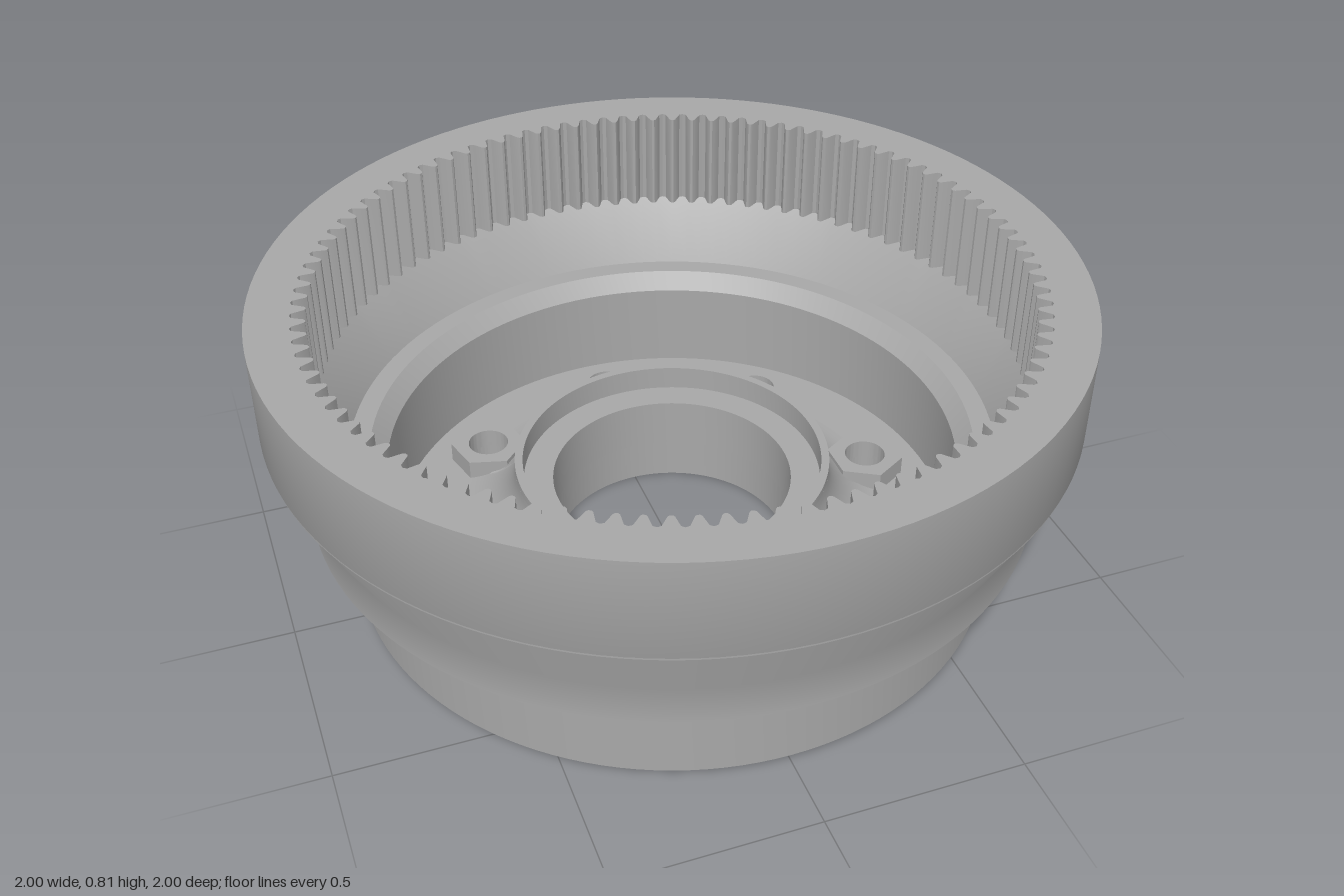
import * as THREE from 'three';
import { toCreasedNormals } from 'three/addons/utils/BufferGeometryUtils.js';

const SEG = 128;
const BOLTS = 8, BOLT_RING = 0.55, BOLT_R = 0.053;
const FLOOR = 0.108, BORE = 0.305;

export function createModel() {
  const group = new THREE.Group();
  const steel = new THREE.MeshStandardMaterial({ color: 0xa8a8a8 });
  steel.name = 'steel grey';

  const add = (name, geometry, crease = 0.6) => {
    const mesh = new THREE.Mesh(toCreasedNormals(geometry, crease), steel);
    mesh.name = name;
    group.add(mesh);
    return mesh;
  };
  const revolve = (profile) =>
    new THREE.LatheGeometry(profile.map(([r, y]) => new THREE.Vector2(r, y)), SEG);
  const disc = (Type, r, x = 0, y = 0) => {
    const s = new Type();
    s.absarc(x, y, r, 0, Math.PI * 2, false);
    return s;
  };
  // Extrude a plan shape upwards from y0 to y1
  const raise = (shape, y0, y1, curveSegments) =>
    new THREE.ExtrudeGeometry(shape, { depth: y1 - y0, bevelEnabled: false, curveSegments })
      .rotateX(-Math.PI / 2).translate(0, y0, 0);

  // Outer skin: chamfered base, stepped shoulder, flared drum
  add('outerShell', revolve([
    [0.79, 0], [0.815, 0.025], [0.815, 0.255], [0.855, 0.255], [0.855, 0.28],
    [0.91, 0.28], [0.91, 0.38], [1, 0.56], [1, 0.81], [0.997, 0.81],
  ]));

  // Inner skin: tapered wall, ledge, bevel and straight wall to the floor
  add('innerWall', revolve([
    [0.9, 0.555], [0.895, 0.55], [0.807, 0.384], [0.755, 0.384], [0.715, 0.343], [0.715, FLOOR],
  ]));

  // Internal gear ring with rounded teeth
  const TEETH = 100, ROOT = 0.895, TIP = 0.858;
  const toothProfile = [[0, ROOT], [0.16, ROOT - 0.004], [0.36, TIP + 0.004], [0.44, TIP],
    [0.56, TIP], [0.64, TIP + 0.004], [0.84, ROOT - 0.004]];
  const toothPoints = [];
  for (let i = 0; i < TEETH; i++) {
    for (const [t, r] of toothProfile) {
      const a = ((i + t) / TEETH) * Math.PI * 2;
      toothPoints.push(new THREE.Vector2(r * Math.cos(a), r * Math.sin(a)));
    }
  }
  const ring = disc(THREE.Shape, 0.997);
  ring.holes.push(new THREE.Path(toothPoints));
  add('gearTeeth', raise(ring, 0.55, 0.81, SEG));

  // Floor plate with centre bore and bolt holes
  const plate = disc(THREE.Shape, 0.79);
  plate.holes.push(disc(THREE.Path, BORE));
  for (let i = 0; i < BOLTS; i++) {
    const a = (i / BOLTS) * Math.PI * 2;
    plate.holes.push(disc(THREE.Path, BOLT_R, BOLT_RING * Math.cos(a), BOLT_RING * Math.sin(a)));
  }
  add('floorPlate', raise(plate, 0, FLOOR, SEG));

  // Raised hub with counterbored top
  const FILLET = 0.175, HUB_R = 0.4, FOOT = HUB_R + FILLET;
  add('hub', revolve([
    [HUB_R, FLOOR + FILLET], [HUB_R, 0.304], [0.38, 0.304], [0.38, 0.24], [BORE, 0.24], [BORE, FLOOR],
  ]));

  // Concave fillet around the hub, its foot cut back around each bolt hole
  const fillet = new THREE.LatheGeometry(
    Array.from({ length: 13 }, (_, i) => new THREE.Vector2(1, i)), 384);
  const pos = fillet.attributes.position, uv = fillet.attributes.uv;
  const CUT = 0.075, STEP = (Math.PI * 2) / BOLTS;
  for (let i = 0; i < pos.count; i++) {
    const a = uv.getX(i) * Math.PI * 2;
    const off = a - Math.round(a / STEP) * STEP;
    const side = BOLT_RING * Math.sin(off);
    let edge = FOOT;
    if (Math.abs(side) < CUT) {
      edge = Math.min(FOOT, BOLT_RING * Math.cos(off) - Math.sqrt(CUT * CUT - side * side));
    }
    const start = Math.asin((FOOT - edge) / FILLET);
    const phi = start + (Math.PI / 2 - start) * (pos.getY(i) / 12);
    const r = FOOT - FILLET * Math.sin(phi);
    pos.setXYZ(i, r * Math.sin(a), FLOOR + FILLET * (1 - Math.cos(phi)), r * Math.cos(a));
  }
  add('hubFillet', fillet);

  // Hexagonal nuts with flats facing the hub
  const hex = new THREE.Shape(Array.from({ length: 6 }, (_, i) => {
    const a = Math.PI / 6 + (i * Math.PI) / 3;
    return new THREE.Vector2(0.1 * Math.cos(a), 0.1 * Math.sin(a));
  }));
  hex.holes.push(disc(THREE.Path, BOLT_R));
  for (let i = 0; i < BOLTS; i++) {
    const a = i * STEP;
    const nut = add('hexNut', raise(hex, FLOOR, 0.16, 32));
    nut.position.set(BOLT_RING * Math.cos(a), 0, -BOLT_RING * Math.sin(a));
    nut.rotation.y = a;
  }

  return group;
}
